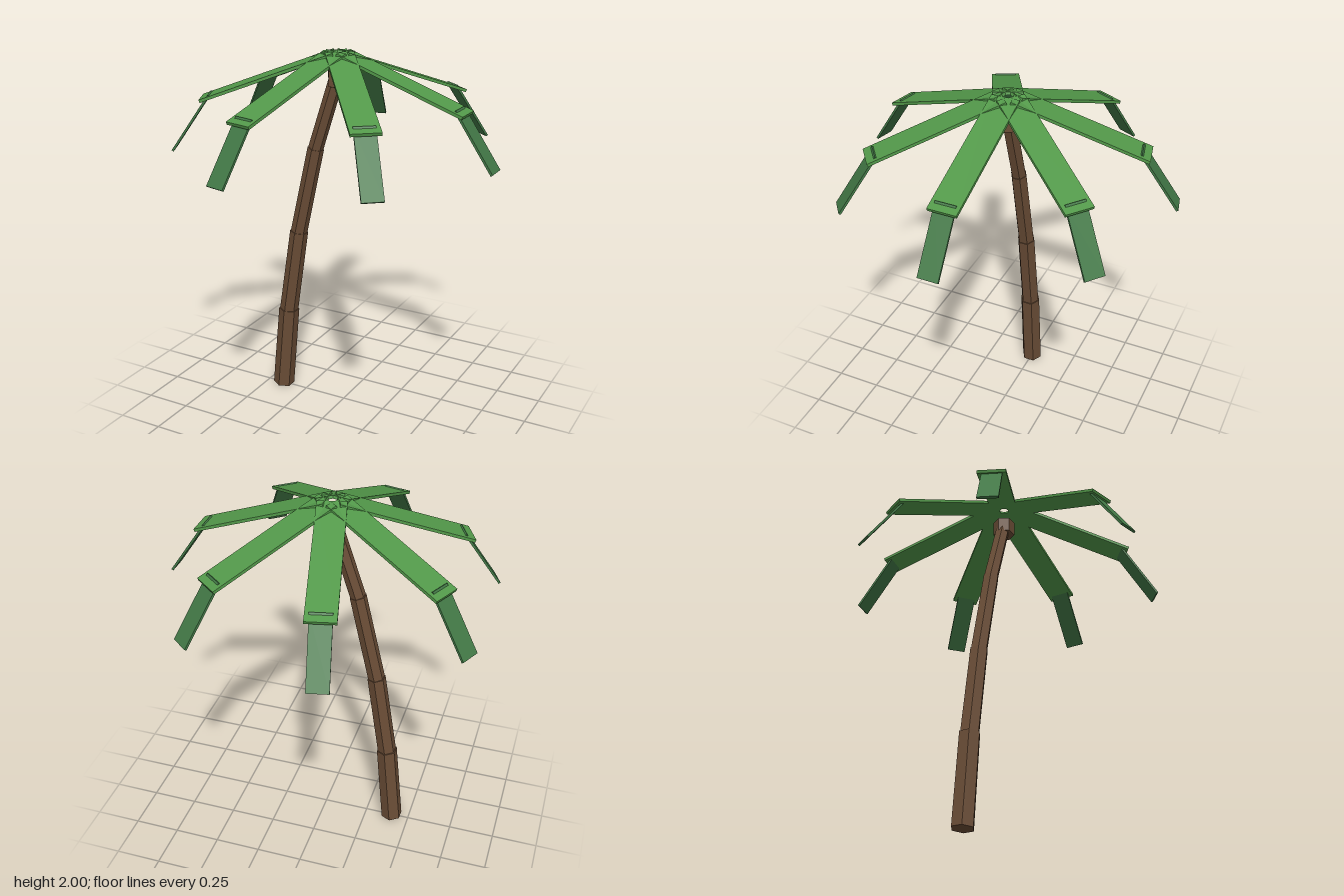
import * as THREE from 'three';

const bark = new THREE.MeshStandardMaterial({ name: 'bark brown', color: 0x6a4d36, flatShading: true });
const leaf = new THREE.MeshStandardMaterial({ name: 'leaf green', color: 0x53994a, flatShading: true });
const leafTip = new THREE.MeshStandardMaterial({ name: 'dark leaf green', color: 0x427846, flatShading: true });

const HUB_X = -0.03;

function add(parent, name, geometry, material) {
  const mesh = new THREE.Mesh(geometry, material);
  mesh.name = name;
  parent.add(mesh);
  return mesh;
}

// Flat slab running from (x0, y0) to (x1, y1) along its centre line
function slab(parent, name, [x0, y0], [x1, y1], thickness, width, material) {
  const length = Math.hypot(x1 - x0, y1 - y0);
  const mesh = add(parent, name, new THREE.BoxGeometry(length, thickness, width), material);
  mesh.position.set((x0 + x1) / 2, (y0 + y1) / 2, 0);
  mesh.rotation.z = Math.atan2(y1 - y0, x1 - x0);
}

export function createModel() {
  const palm = new THREE.Group();
  palm.name = 'palmTree';

  // Leaning trunk: stacked six-sided segments, each slimmer than the last
  const trunk = new THREE.Group();
  trunk.name = 'trunk';
  palm.add(trunk);
  const joints = [[-0.402, 0.005], [-0.355, 0.495], [-0.28, 0.98], [-0.168, 1.47], [-0.04, 1.86]];
  const radii = [0.06, 0.052, 0.046, 0.041];
  radii.forEach((r, i) => {
    const [x0, y0] = joints[i];
    const [x1, y1] = joints[i + 1];
    const length = Math.hypot(x1 - x0, y1 - y0);
    const segment = add(trunk, `trunkSegment${i + 1}`,
      new THREE.CylinderGeometry(r * 0.96, r, length, 6), bark);
    segment.position.set((x0 + x1) / 2, (y0 + y1) / 2, 0);
    segment.rotation.z = -Math.atan2(x1 - x0, y1 - y0);
  });

  // Faceted knob under the crown
  const profile = [[0, -0.055], [0.06, -0.04], [0.06, 0.04], [0, 0.06]]
    .map(([x, y]) => new THREE.Vector2(x, y));
  const knob = add(palm, 'crownKnob', new THREE.LatheGeometry(profile, 6), bark);
  knob.position.set(HUB_X, 1.86, 0);
  knob.rotation.y = Math.PI / 6;

  // Seven fronds, each a broad blade with a narrow drooping tip
  for (let i = 0; i < 7; i++) {
    const frond = new THREE.Group();
    frond.name = `frond${i + 1}`;
    frond.position.x = HUB_X;
    frond.rotation.y = (i / 7) * Math.PI * 2;
    palm.add(frond);
    slab(frond, 'frondBlade', [0.026, 1.99], [0.71, 1.747], 0.016, 0.15, leaf);
    slab(frond, 'frondTip', [0.664, 1.774], [0.867, 1.478], 0.012, 0.108, leafTip);
  }

  return palm;
}
